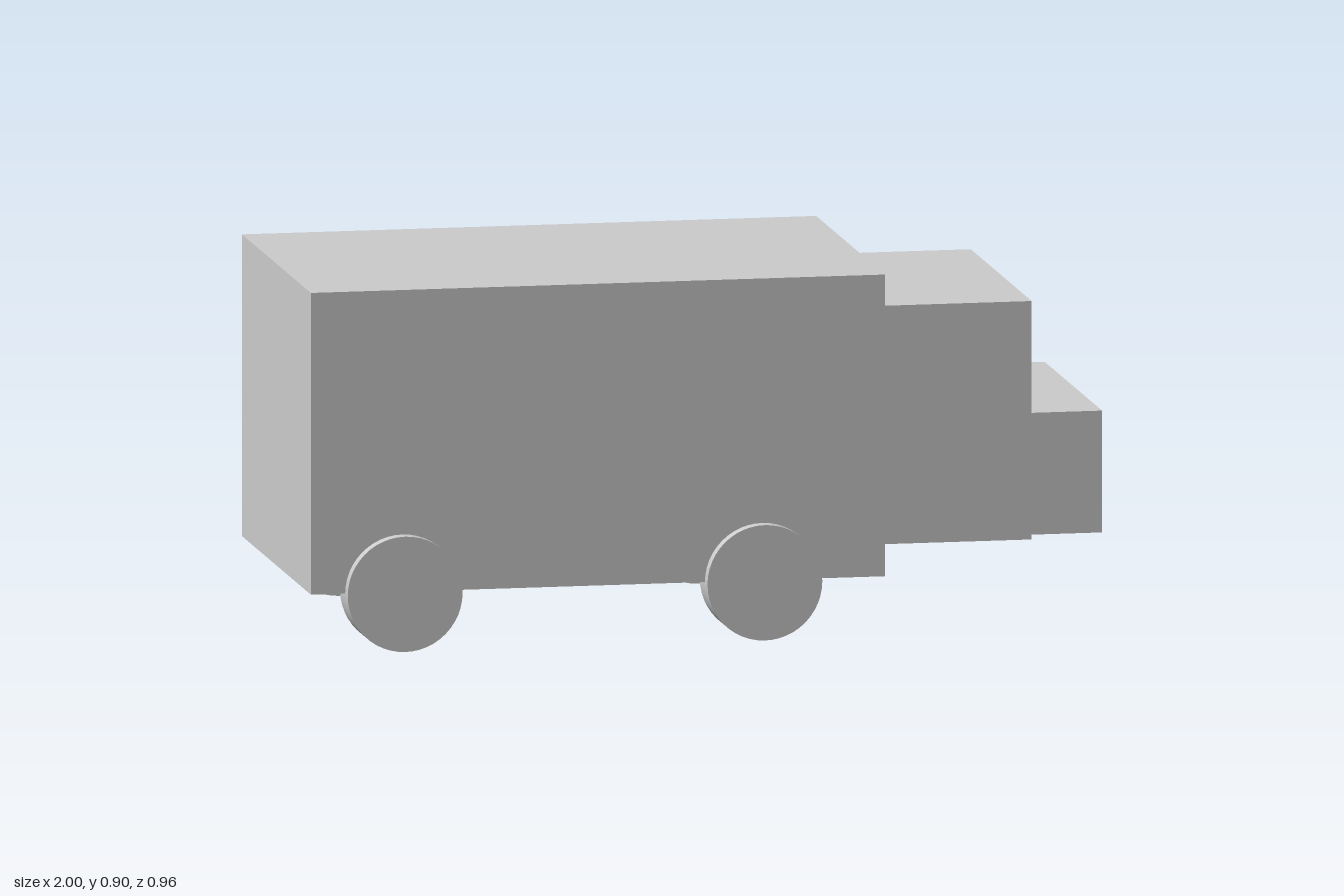
import * as THREE from 'three';

const material = new THREE.MeshStandardMaterial({ color: 0xcccccc });

// Box given by its limits on each axis
function block(name, [x0, x1], [y0, y1], [z0, z1]) {
  const mesh = new THREE.Mesh(new THREE.BoxGeometry(x1 - x0, y1 - y0, z1 - z0), material);
  mesh.position.set((x0 + x1) / 2, (y0 + y1) / 2, (z0 + z1) / 2);
  mesh.name = name;
  return mesh;
}

export function createModel() {
  const truck = new THREE.Group();
  truck.name = 'boxTruck';

  // Body, stepping down towards the nose at +x
  truck.add(
    block('cargoBox', [-1, 0.44], [0.145, 0.898], [-0.441, 0.448]),
    block('cab', [0.44, 0.819], [0.215, 0.81], [-0.397, 0.389]),
    block('hood', [0.819, 1], [0.223, 0.527], [-0.374, 0.366]),
  );

  // Wheels, set partly into the cargo box
  const radius = 0.144;
  const wheelGeometry = new THREE.CylinderGeometry(radius, radius, 0.1, 48).rotateX(Math.PI / 2);
  const wheels = [
    ['rearWheelNear', -0.77, 0.432],
    ['frontWheelNear', 0.132, 0.432],
    ['rearWheelFar', -0.77, -0.421],
    ['frontWheelFar', 0.132, -0.431],
  ];
  for (const [name, x, z] of wheels) {
    const wheel = new THREE.Mesh(wheelGeometry, material);
    wheel.position.set(x, radius, z);
    wheel.name = name;
    truck.add(wheel);
  }
  return truck;
}
